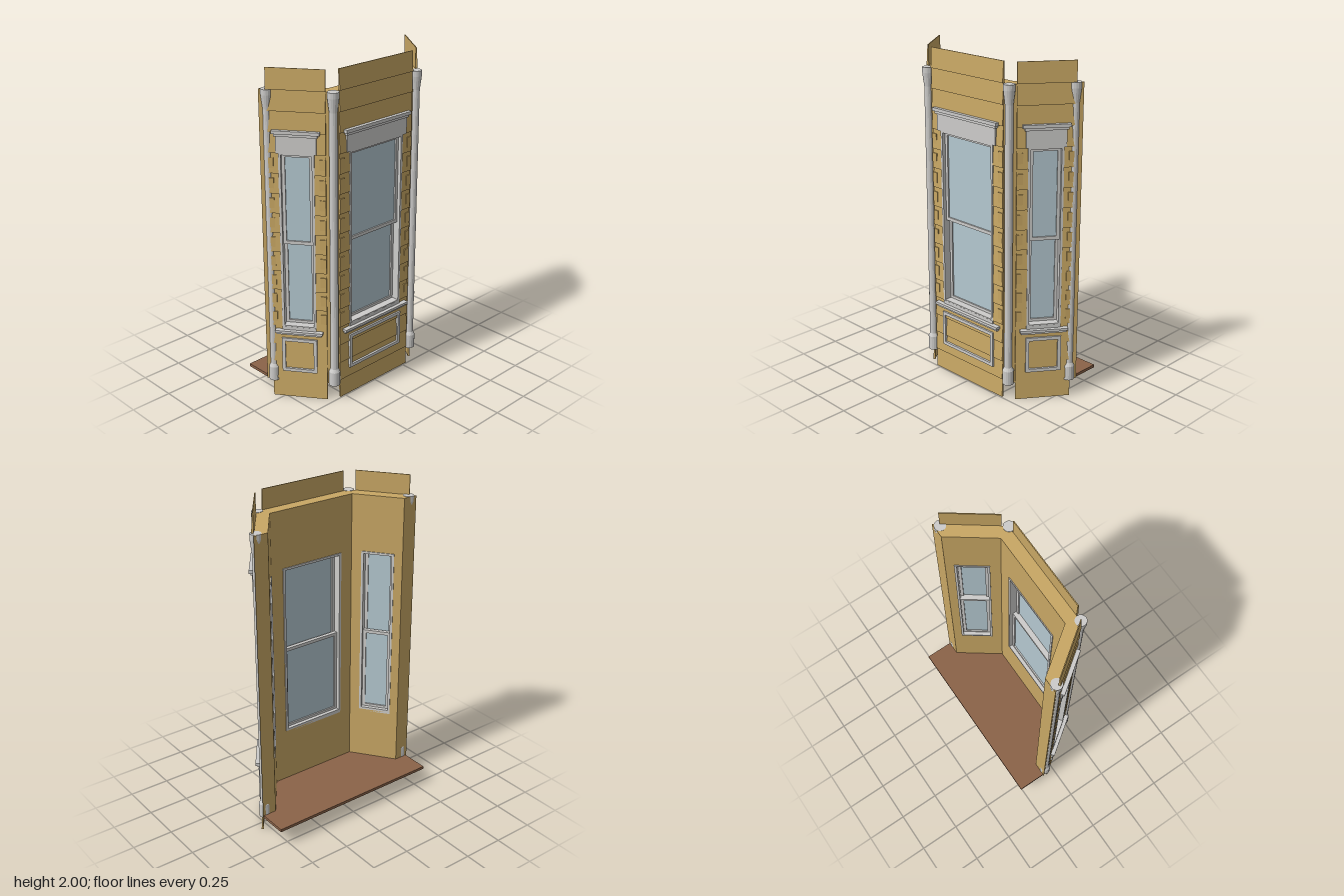
import * as THREE from 'three';

const mat = (name, color) => {
  const m = new THREE.MeshStandardMaterial({ color });
  m.name = name;
  return m;
};

const T = 0.073;            // wall thickness
const COURSE = 2 / 17;      // clapboard height
const ANGLE = THREE.MathUtils.degToRad(54);

export function createModel() {
  const tan = mat('tan paint', 0xc8a764);
  const trim = mat('pale grey trim', 0xcdccca);
  const glass = mat('blue grey glass', 0xb4c8d0);
  const wood = mat('brown floor', 0x8b6348);

  const add = (parent, name, geo, material, x = 0, y = 0, z = 0) => {
    const m = new THREE.Mesh(geo, material);
    m.name = name;
    m.position.set(x, y, z);
    parent.add(m);
    return m;
  };

  // box given by its limits
  const block = (parent, name, material, x0, x1, y0, y1, z0, z1) =>
    add(parent, name, new THREE.BoxGeometry(x1 - x0, y1 - y0, z1 - z0), material,
      (x0 + x1) / 2, (y0 + y1) / 2, (z0 + z1) / 2);

  const rectPath = (P, x0, x1, y0, y1) => {
    const p = new P();
    p.moveTo(x0, y0);
    p.lineTo(x1, y0);
    p.lineTo(x1, y1);
    p.lineTo(x0, y1);
    p.closePath();
    return p;
  };

  // rectangular ring of the given border width
  const frame = (parent, name, h, y0, y1, border, z0, z1, material = trim) => {
    const s = rectPath(THREE.Shape, -h, h, y0, y1);
    s.holes.push(rectPath(THREE.Path, -h + border, h - border, y0 + border, y1 - border));
    return add(parent, name, new THREE.ExtrudeGeometry(s, { depth: z1 - z0, bevelEnabled: false }),
      material, 0, 0, z0);
  };

  // clapboard: thicker along its lower edge
  const clapboard = (parent, x0, x1, y0) => {
    const g = new THREE.BoxGeometry(x1 - x0, COURSE, 0.013);
    const p = g.attributes.position;
    for (let i = 0; i < p.count; i++) {
      if (p.getY(i) > 0 && p.getZ(i) > 0) p.setZ(i, -0.001);
    }
    g.computeVertexNormals();
    add(parent, 'clapboard', g, tan, (x0 + x1) / 2, y0 + COURSE / 2, 0.0075);
  };

  // one wall face: w = half siding width, o = half opening width
  const bay = (name, w, o, xL, xR, shiftL, shiftR) => {
    const b = new THREE.Group();
    b.name = name;
    const yB = 4 * COURSE, yT = 13 * COURSE;

    // wall with window opening, ends mitred on the inner side
    const s = rectPath(THREE.Shape, xL, xR, 0.103, 1.88);
    s.holes.push(rectPath(THREE.Path, -o, o, yB, yT));
    const g = new THREE.ExtrudeGeometry(s, { depth: T, bevelEnabled: false });
    const p = g.attributes.position;
    for (let i = 0; i < p.count; i++) {
      if (p.getZ(i) > T / 2) continue;
      if (Math.abs(p.getX(i) - xL) < 1e-4) p.setX(i, xL + shiftL);
      if (Math.abs(p.getX(i) - xR) < 1e-4) p.setX(i, xR + shiftR);
    }
    g.computeVertexNormals();
    add(b, 'wall', g, tan, 0, 0, -T);

    // siding, with staggered edge blocks beside the window
    for (let i = 0; i < 17; i++) {
      const y = i * COURSE;
      if (i < 4 || i > 12) {
        clapboard(b, -w, w, y);
        continue;
      }
      clapboard(b, -w, -o, y);
      clapboard(b, o, w, y);
      for (const sx of [-1, 1]) {
        const a = sx * w, c = sx * (w - 0.035);
        block(b, 'edgeBlock', tan, Math.min(a, c), Math.max(a, c), y + 0.03, y + 0.09, 0.002, 0.014);
      }
    }

    // window lining and two sliding sashes, the lower one set deeper
    frame(b, 'windowLining', o, yB - 0.008, yT + 0.004, 0.014, -T - 0.005, 0.015);
    const sash = (label, y0, y1, z) => {
      frame(b, label + 'Sash', o - 0.012, y0, y1, 0.02, z - 0.012, z + 0.012);
      block(b, label + 'Glass', glass, -o + 0.03, o - 0.03, y0 + 0.018, y1 - 0.018, z - 0.003, z + 0.003);
    };
    sash('upper', 0.985, yT - 0.006, -0.018);
    sash('lower', yB + 0.002, 1.01, -0.043);

    // head board, cornice and sill
    block(b, 'headBoard', trim, -w + 0.05, w - 0.05, yT, 1.64, 0, 0.02);
    block(b, 'corniceMoulding', trim, -w + 0.042, w - 0.042, 1.628, 1.643, 0, 0.028);
    block(b, 'cornice', trim, -w + 0.03, w - 0.03, 1.643, 1.662, 0, 0.036);
    block(b, 'sill', trim, -w + 0.023, w - 0.023, 0.435, 0.45, 0, 0.038);
    block(b, 'sillMoulding', trim, -w + 0.03, w - 0.03, 0.422, 0.435, 0, 0.028);
    block(b, 'sillWedge', trim, -o, o, 0.449, yB, -T, 0.016);

    // framed panel below the window
    frame(b, 'panelFrame', o + 0.004, 0.175, 0.395, 0.02, 0, 0.022);
    return b;
  };

  const model = new THREE.Group();
  model.name = 'bayWindow';

  const front = bay('frontBay', 0.285, 0.21, -0.327, 0.327, 0.037, -0.037);
  front.position.set(0, 0, 0.23);
  const left = bay('leftBay', 0.1625, 0.1, -0.199, 0.203, 0.037, -0.053);
  left.position.set(0.444, 0, 0.069);
  left.rotation.y = ANGLE;
  const right = bay('rightBay', 0.1625, 0.1, -0.203, 0.199, 0.053, -0.037);
  right.position.set(-0.444, 0, 0.069);
  right.rotation.y = -ANGLE;
  model.add(front, left, right);

  // corner columns with block base and flared top
  const profile = [[0, 0.103], [0.033, 0.103], [0.033, 0.19], [0.023, 0.21], [0.023, 1.77],
    [0.033, 1.85], [0.033, 1.882], [0, 1.882]].map(([x, y]) => new THREE.Vector2(x, y));
  const column = new THREE.LatheGeometry(profile, 16).toNonIndexed();
  column.computeVertexNormals();
  for (const sx of [-1, 1]) {
    add(model, 'frontColumn', column, trim, sx * 0.323, 0, 0.232);
    add(model, 'rearColumn', column, trim, sx * 0.531, 0, -0.065);
  }

  // floor: fills the bay and runs out behind it
  const f = new THREE.Shape([[-0.557, 0.27], [-0.557, 0.093], [-0.474, 0.093], [-0.29, -0.158],
    [0.29, -0.158], [0.474, 0.093], [0.557, 0.093], [0.557, 0.27]].map(([x, y]) => new THREE.Vector2(x, y)));
  const floor = add(model, 'floor', new THREE.ExtrudeGeometry(f, { depth: 0.018, bevelEnabled: false }),
    wood, 0, 0.104, 0);
  floor.rotation.x = -Math.PI / 2;

  return model;
}
